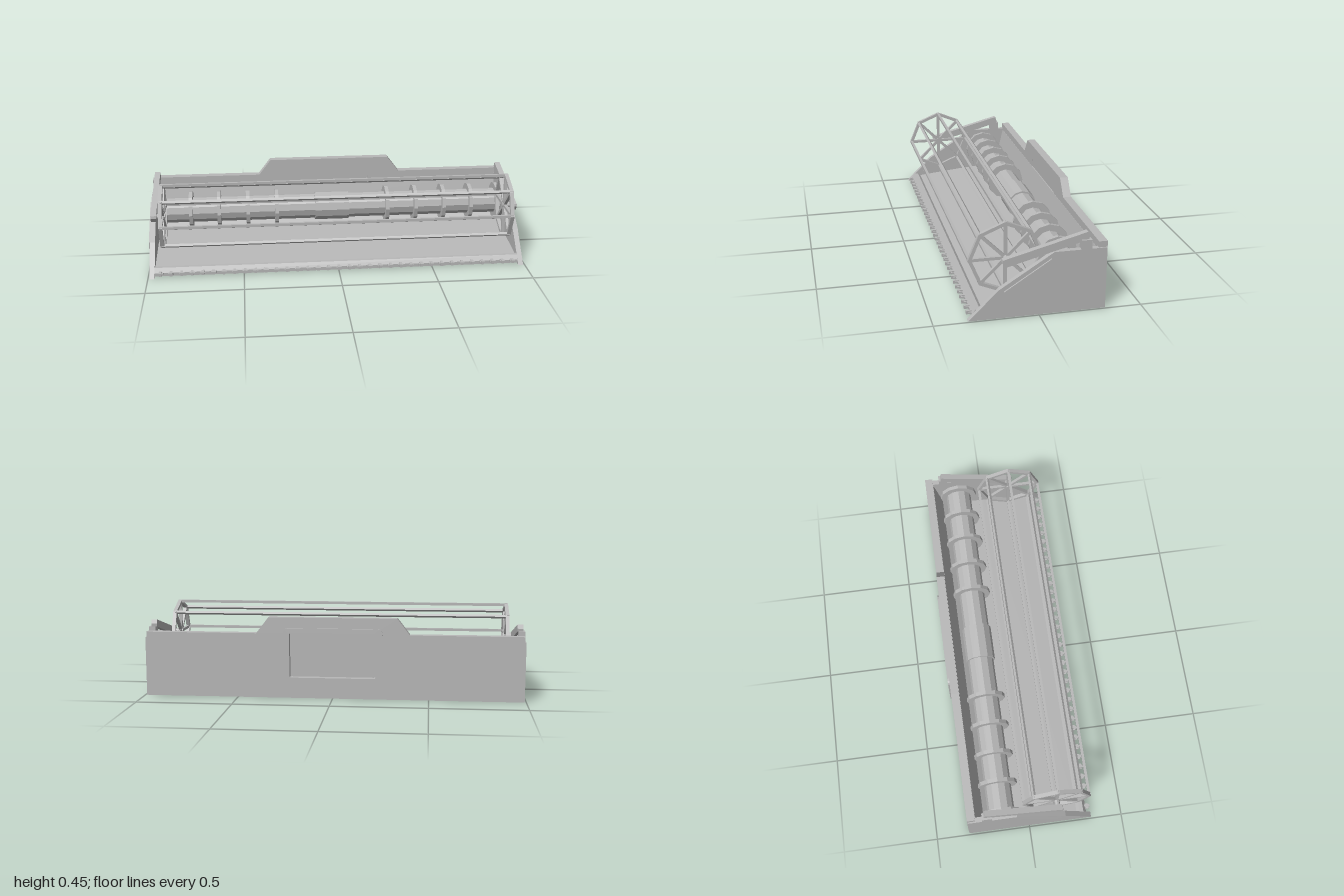
import * as THREE from 'three';

export function createModel() {
  const model = new THREE.Group();
  model.name = 'harvesterHeader';
  const grey = new THREE.MeshStandardMaterial({ color: 0xb8b8b8, flatShading: true });
  grey.name = 'plainGrey';

  const add = (name, geometry, parent = model) => {
    const mesh = new THREE.Mesh(geometry, grey);
    mesh.name = name;
    parent.add(mesh);
    return mesh;
  };
  const box = (name, w, h, d, x, y, z, parent) => {
    const mesh = add(name, new THREE.BoxGeometry(w, h, d), parent);
    mesh.position.set(x, y, z);
    return mesh;
  };
  // Extrudes a [z, y] outline along x from x0 to x1
  const sideProfile = (name, points, x0, x1, parent) => {
    const shape = new THREE.Shape(points.map(([z, y]) => new THREE.Vector2(-z, y)));
    const g = new THREE.ExtrudeGeometry(shape, { depth: x1 - x0, bevelEnabled: false });
    g.rotateY(Math.PI / 2).translate(x0, 0, 0);
    return add(name, g, parent);
  };
  const roundedRect = (path, x, y0, y1, r) => {
    path.moveTo(-x + r, y0);
    path.lineTo(x - r, y0).quadraticCurveTo(x, y0, x, y0 + r);
    path.lineTo(x, y1 - r).quadraticCurveTo(x, y1, x - r, y1);
    path.lineTo(-x + r, y1).quadraticCurveTo(-x, y1, -x, y1 - r);
    path.lineTo(-x, y0 + r).quadraticCurveTo(-x, y0, -x + r, y0);
    return path;
  };
  const opening = () => roundedRect(new THREE.Path(), 0.225, 0.11, 0.345, 0.01);

  // Back wall with raised centre and feed opening
  const wall = new THREE.Shape([
    [-0.985, 0], [0.985, 0], [0.985, 0.34], [0.4, 0.34], [0.335, 0.425],
    [-0.335, 0.425], [-0.4, 0.34], [-0.985, 0.34],
  ].map(([x, y]) => new THREE.Vector2(x, y)));
  wall.holes.push(opening());
  add('backWall', new THREE.ExtrudeGeometry(wall, { depth: 0.042, bevelEnabled: false, curveSegments: 3 }))
    .position.z = -0.327;
  box('feedOpeningPanel', 0.47, 0.255, 0.012, 0, 0.228, -0.295);
  const frame = roundedRect(new THREE.Shape(), 0.26, 0.082, 0.37, 0.03);
  frame.holes.push(opening());
  add('feedOpeningFrame', new THREE.ExtrudeGeometry(frame, { depth: 0.012, bevelEnabled: false, curveSegments: 4 }))
    .position.z = -0.337;

  // Floor with a raised front lip and a trough rising to the wall
  sideProfile('floor', [
    [0.312, 0.004], [0.312, 0.022], [0.296, 0.045], [0.275, 0.045], [0.26, 0.032], [0, 0.06],
    [-0.1, 0.068], [-0.19, 0.075], [-0.24, 0.11], [-0.284, 0.3], [-0.3, 0.3], [-0.3, 0.004],
  ], -0.967, 0.967);

  // Knife guards along the front edge
  const knife = new THREE.Group();
  knife.name = 'knifeGuards';
  model.add(knife);
  for (let i = 0; i < 35; i++) {
    const x = -0.935 + i * 0.055;
    sideProfile('knifeGuard', [[0.3, 0.012], [0.335, 0.012], [0.335, 0.028], [0.3, 0.03]], x - 0.007, x + 0.007, knife);
    box('knifeSection', 0.028, 0.008, 0.022, x, 0.02, 0.317, knife);
  }

  // Auger: drum, flight rings and centre paddle drum
  const auger = new THREE.Group();
  auger.name = 'auger';
  auger.position.set(0, 0.195, -0.145);
  model.add(auger);
  const drum = (name, r, length, x) => {
    const g = new THREE.CylinderGeometry(r, r, length, 12);
    add(name, g.rotateZ(Math.PI / 2), auger).position.x = x;
  };
  drum('augerTube', 0.07, 1.934, 0);
  drum('augerCentre', 0.079, 0.19, 0);
  for (const s of [-1, 1])
    for (const x of [0.31, 0.47, 0.63, 0.785, 0.94]) drum('augerFlight', 0.103, 0.02, s * x);

  // Reel: eight long bars between two spoked octagon ends
  const reel = new THREE.Group();
  reel.name = 'reel';
  reel.position.set(0, 0.275, 0.145);
  model.add(reel);
  const R = 0.17, side = 2 * R * Math.sin(Math.PI / 8);
  for (let i = 0; i < 8; i++) {
    const a = i * Math.PI / 4, m = a + Math.PI / 8;
    const bar = box('reelBar', 1.85, 0.014, 0.014, 0, R * Math.sin(a), R * Math.cos(a), reel);
    bar.rotation.x = -a;
    for (const s of [-1, 1]) {
      const c = R * Math.cos(Math.PI / 8);
      const rim = box('reelRim', 0.02, side + 0.006, 0.016, s * 0.92, c * Math.sin(m), c * Math.cos(m), reel);
      rim.rotation.x = -m;
      const spoke = box('reelSpoke', 0.016, 0.015, R, s * 0.92, R / 2 * Math.sin(a), R / 2 * Math.cos(a), reel);
      spoke.rotation.x = -a;
    }
  }

  // Both ends: side plate, stiffener, reel arm, bracket and pivot
  for (const s of [-1, 1]) {
    const end = new THREE.Group();
    end.name = s > 0 ? 'leftEnd' : 'rightEnd';
    model.add(end);
    const slab = (name, points, a, b) => sideProfile(name, points, Math.min(s * a, s * b), Math.max(s * a, s * b), end);
    slab('sidePlate', [[0.337, 0], [0.19, 0.145], [-0.07, 0.31], [-0.324, 0.31], [-0.324, 0]], 0.965, 0.992);
    slab('sideStiffener', [[0.168, 0.135], [-0.056, 0.28], [-0.056, 0.243], [0.168, 0.098]], 0.99, 1.0);
    slab('reelArm', [[0.17, 0.286], [0.172, 0.272], [0.157, 0.249], [-0.238, 0.354], [-0.24, 0.37], [-0.232, 0.392]], 0.952, 0.982);
    box('armBracket', 0.035, 0.046, 0.05, s * 0.975, 0.332, -0.225, end);
    const pivot = new THREE.CylinderGeometry(0.014, 0.014, 0.06, 8).rotateZ(Math.PI / 2);
    add('reelPivot', pivot, end).position.set(s * 0.937, 0.275, 0.145);
  }
  return model;
}
